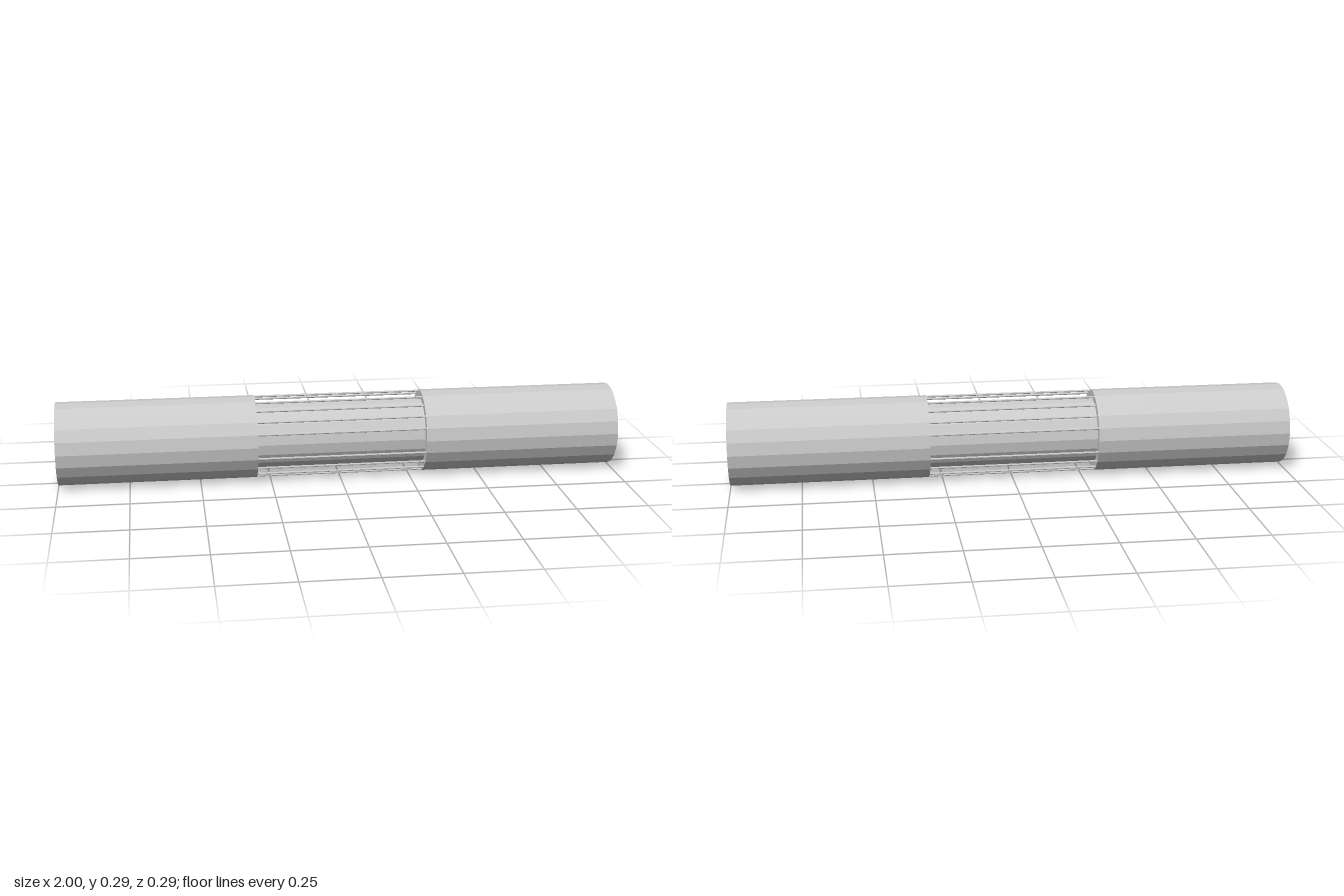
import * as THREE from 'three';

const RADIUS = 0.147;

export function createModel() {
  const model = new THREE.Group();
  const material = new THREE.MeshStandardMaterial({ color: 0xcccccc, flatShading: true });

  // A cylinder lying along x, with one corner of its outline pointing up
  function bar(name, radius, length, sides, x, y, z) {
    const geometry = new THREE.CylinderGeometry(radius, radius, length, sides);
    geometry.rotateZ(Math.PI / 2);
    const mesh = new THREE.Mesh(geometry, material);
    mesh.name = name;
    mesh.position.set(x, RADIUS + y, z);
    model.add(mesh);
  }

  // Two solid ends and the narrower core between them
  bar('leftEnd', RADIUS, 0.7, 20, 0.65, 0, 0);
  bar('rightEnd', RADIUS, 0.7, 20, -0.65, 0, 0);
  bar('core', 0.119, 0.62, 20, 0, 0, 0);

  // Thin rods around the core, four in each quarter
  for (let i = 0; i < 20; i++) {
    if (i % 5 === 0) continue;
    const a = (i / 20) * Math.PI * 2;
    bar('rod', 0.004, 0.62, 8, 0, 0.142 * Math.sin(a), 0.142 * Math.cos(a));
  }
  return model;
}
